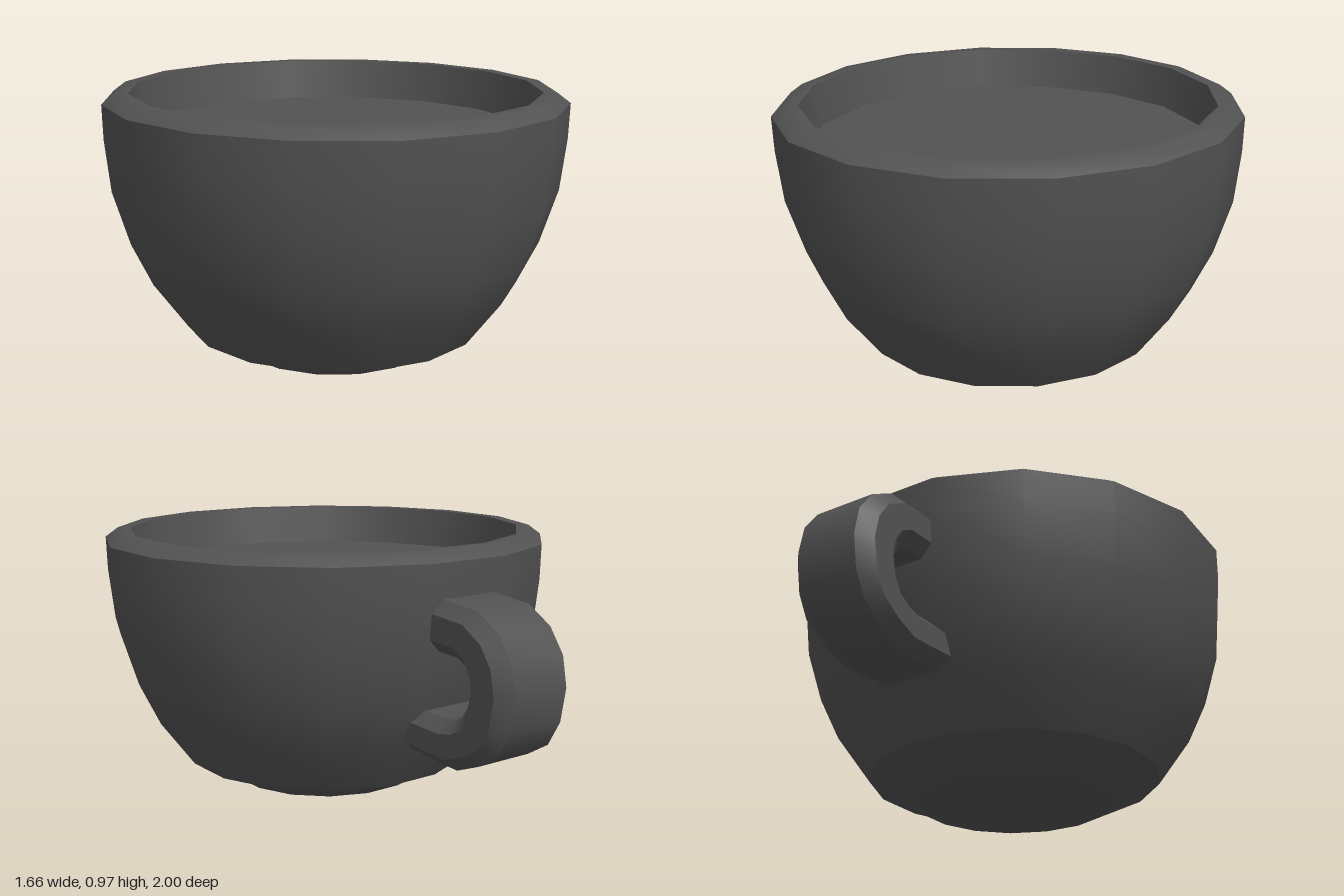
import * as THREE from 'three';
import { toCreasedNormals } from 'three/addons/utils/BufferGeometryUtils.js';

const SIDES = 16;
const START = Math.PI / SIDES;
const CENTER_Z = 0.17;
// profiles give the half width across flats; convert to corner radius
const corner = (r) => r / Math.cos(Math.PI / SIDES);

// smooth band around the cup; separate bands meet in sharp edges
function band(points) {
  const profile = points.map(([r, y]) => new THREE.Vector2(corner(r), y));
  return new THREE.LatheGeometry(profile, SIDES, START);
}

function disc(r, y, facing) {
  const g = new THREE.CircleGeometry(corner(r), SIDES, START);
  g.rotateX(-facing * Math.PI / 2);
  return g.translate(0, y, 0);
}

// chamfered section swept between an outer and an inner curve
function handleGeometry() {
  // [outer z, outer y, inner z, inner y] from the top joint to the bottom joint
  const stations = [
    [-0.56, 0.82, -0.56, 0.635],
    [-0.66, 0.815, -0.65, 0.635],
    [-0.82, 0.80, -0.73, 0.632],
    [-0.92, 0.74, -0.77, 0.61],
    [-0.98, 0.655, -0.79, 0.575],
    [-1.0, 0.55, -0.80, 0.53],
    [-0.98, 0.43, -0.785, 0.475],
    [-0.93, 0.34, -0.76, 0.435],
    [-0.84, 0.285, -0.72, 0.415],
    [-0.74, 0.245, -0.67, 0.413],
    [-0.65, 0.25, -0.60, 0.415],
    [-0.45, 0.27, -0.45, 0.42],
  ];
  // [x, fraction from outer to inner curve]
  const section = [
    [0.115, 0], [-0.115, 0], [-0.16, 0.25], [-0.16, 0.74],
    [-0.115, 1], [0.115, 1], [0.16, 0.74], [0.16, 0.25],
  ];
  const n = section.length;
  const positions = [];
  const index = [];
  for (const [oz, oy, iz, iy] of stations) {
    for (const [x, t] of section) {
      positions.push(x, THREE.MathUtils.lerp(oy, iy, t), THREE.MathUtils.lerp(oz, iz, t));
    }
  }
  for (let i = 0; i < stations.length - 1; i++) {
    for (let j = 0; j < n; j++) {
      const k = (j + 1) % n;
      const a = i * n + j, b = i * n + k, c = a + n, d = b + n;
      index.push(a, c, d, a, d, b);
    }
  }
  const g = new THREE.BufferGeometry();
  g.setAttribute('position', new THREE.Float32BufferAttribute(positions, 3));
  g.setIndex(index);
  return toCreasedNormals(g, 0.55);
}

export function createModel() {
  const model = new THREE.Group();
  model.name = 'cup';
  const material = new THREE.MeshStandardMaterial({ color: 0x525252 });

  function add(name, geometry, z = CENTER_Z) {
    const mesh = new THREE.Mesh(geometry, material);
    mesh.name = name;
    mesh.position.z = z;
    model.add(mesh);
  }

  // outside of the cup, bottom to top
  add('base', disc(0.37, 0, -1));
  add('foot', band([[0.37, 0], [0.43, 0.04], [0.545, 0.085]]));
  add('outerWall', band([
    [0.545, 0.085], [0.67, 0.26], [0.745, 0.42],
    [0.805, 0.62], [0.825, 0.81], [0.828, 0.937],
  ]));
  add('rim', band([[0.828, 0.937], [0.782, 0.972], [0.735, 0.972]]));

  // inside, down to the drink
  add('innerWall', band([[0.735, 0.972], [0.707, 0.82]]));
  add('drinkSurface', disc(0.707, 0.82, 1));

  add('handle', handleGeometry(), 0);

  return model;
}
